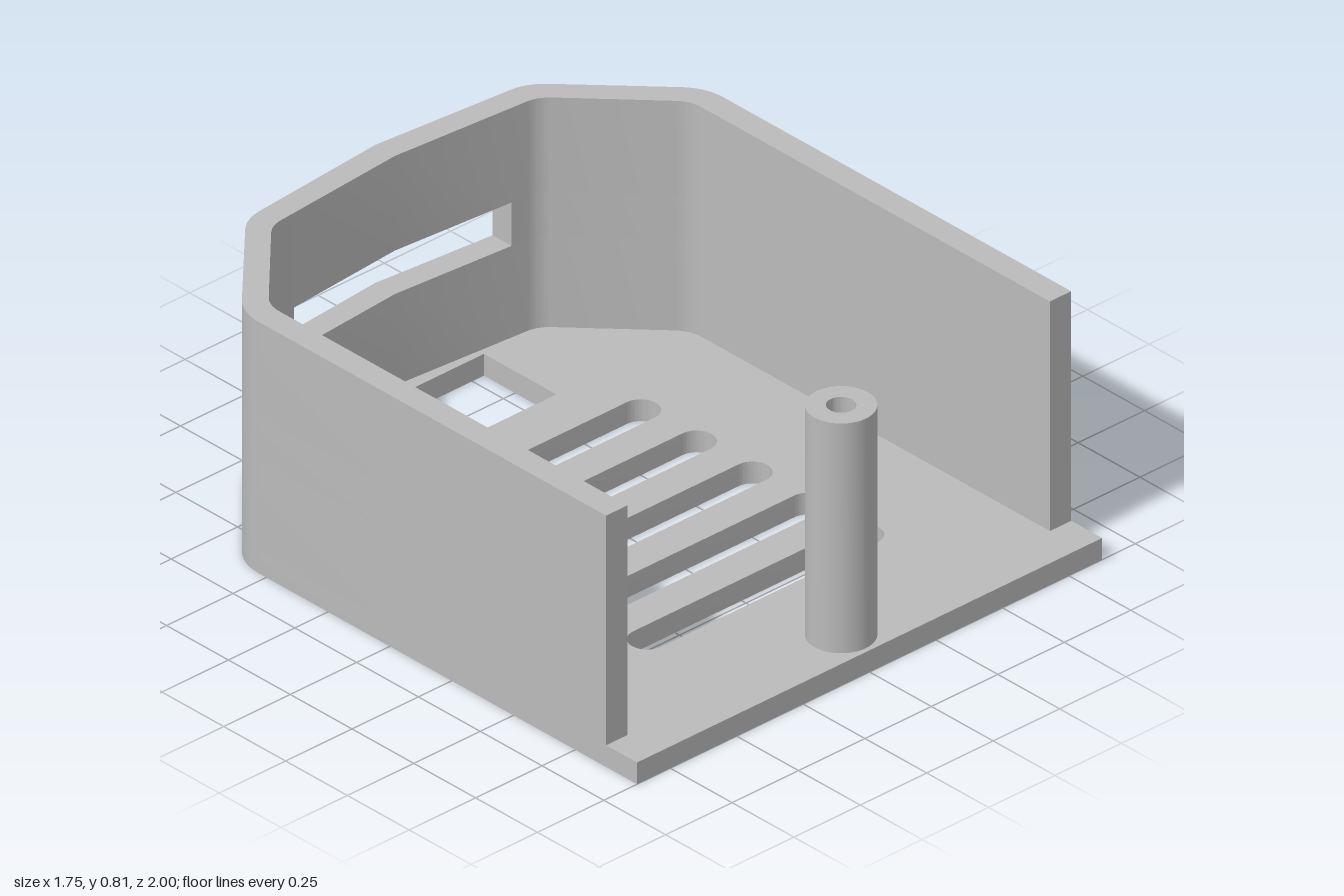
import * as THREE from 'three';
import { toCreasedNormals } from 'three/addons/utils/BufferGeometryUtils.js';

const BASE = 0.07, TOP = 0.81, SLOT_LOW = 0.365, SLOT_HIGH = 0.505, SLOT_X = 0.41;

// Plan points are [x, -z]; a bend is start, corner and end of a rounded corner.
const OUTER = {
  front: 0.875, side: 0.875, apex: 1,
  bends: [[[0.875, 0.53], [0.875, 0.6], [0.825, 0.652]], [[0.572, 0.911], [0.53, 0.955], [0.472, 0.96]]],
};
const INNER = {
  front: 0.875, side: 0.795, apex: 0.92,
  bends: [[[0.795, 0.53], [0.795, 0.577], [0.765, 0.608]], [[0.528, 0.853], [0.5, 0.881], [0.463, 0.884]]],
};

// Right half of an outline, from the front end of the side to the given x on the back.
function halfOutline(o, front, endX) {
  const pts = [new THREE.Vector2(o.side, -front)];
  for (const bend of o.bends) {
    const [a, b, c] = bend.map((p) => new THREE.Vector2(...p));
    pts.push(...new THREE.QuadraticBezierCurve(a, b, c).getPoints(12));
  }
  const [lx, ly] = o.bends[1][2];
  pts.push(new THREE.Vector2(endX, o.apex + (ly - o.apex) * (endX / lx)));
  return pts;
}

const mirror = (pts) => pts.map((p) => new THREE.Vector2(-p.x, p.y)).reverse();

// Full outline running from the right front to the left front.
function fullOutline(o, front) {
  const half = halfOutline(o, front, 0);
  return [...half, ...mirror(half).slice(1)];
}

// Extrude a plan shape upwards between two heights.
function slab(shape, y0, y1) {
  const geo = new THREE.ExtrudeGeometry(shape, { depth: y1 - y0, bevelEnabled: false, curveSegments: 16 });
  geo.rotateX(-Math.PI / 2).translate(0, y0, 0);
  return toCreasedNormals(geo, 0.25);
}

export function createModel() {
  const group = new THREE.Group();
  const grey = new THREE.MeshStandardMaterial({ color: 0xbababa });
  grey.name = 'grey plastic';
  const add = (name, geo) => {
    const mesh = new THREE.Mesh(geo, grey);
    mesh.name = name;
    group.add(mesh);
  };

  // Floor with five vent slots and a rectangular opening
  const floor = new THREE.Shape(fullOutline(OUTER, 1));
  for (let i = 0; i < 5; i++) {
    const y = 0.364 - i * 0.2257, r = 0.056, x = 0.464 - r;
    const vent = new THREE.Path();
    vent.moveTo(-x, y - r);
    vent.lineTo(x, y - r);
    vent.absarc(x, y, r, -Math.PI / 2, Math.PI / 2, false);
    vent.lineTo(-x, y + r);
    vent.absarc(-x, y, r, Math.PI / 2, Math.PI * 1.5, false);
    floor.holes.push(vent);
  }
  floor.holes.push(new THREE.Path([[-0.294, 0.583], [0.294, 0.583], [0.294, 0.876], [-0.294, 0.876]]
    .map((p) => new THREE.Vector2(...p))));
  add('floor', slab(floor, 0, BASE));

  // Wall below and above the back slot
  const ring = new THREE.Shape([
    ...fullOutline(OUTER, OUTER.front),
    ...fullOutline(INNER, INNER.front).reverse(),
  ]);
  add('lowerWall', slab(ring, BASE, SLOT_LOW));
  add('upperWall', slab(ring, SLOT_HIGH, TOP));

  // Wall on either side of the back slot
  const side = [
    ...halfOutline(OUTER, OUTER.front, SLOT_X),
    ...halfOutline(INNER, INNER.front, SLOT_X).reverse(),
  ];
  add('leftSlotWall', slab(new THREE.Shape(side), SLOT_LOW, SLOT_HIGH));
  add('rightSlotWall', slab(new THREE.Shape(mirror(side)), SLOT_LOW, SLOT_HIGH));

  // Screw post with a bore
  const profile = [[0.1, BASE], [0.1, TOP], [0.042, TOP], [0.042, BASE]].map((p) => new THREE.Vector2(...p));
  const post = toCreasedNormals(new THREE.LatheGeometry(profile, 48), 0.6);
  post.translate(0, 0, 0.885);
  add('screwPost', post);

  return group;
}
